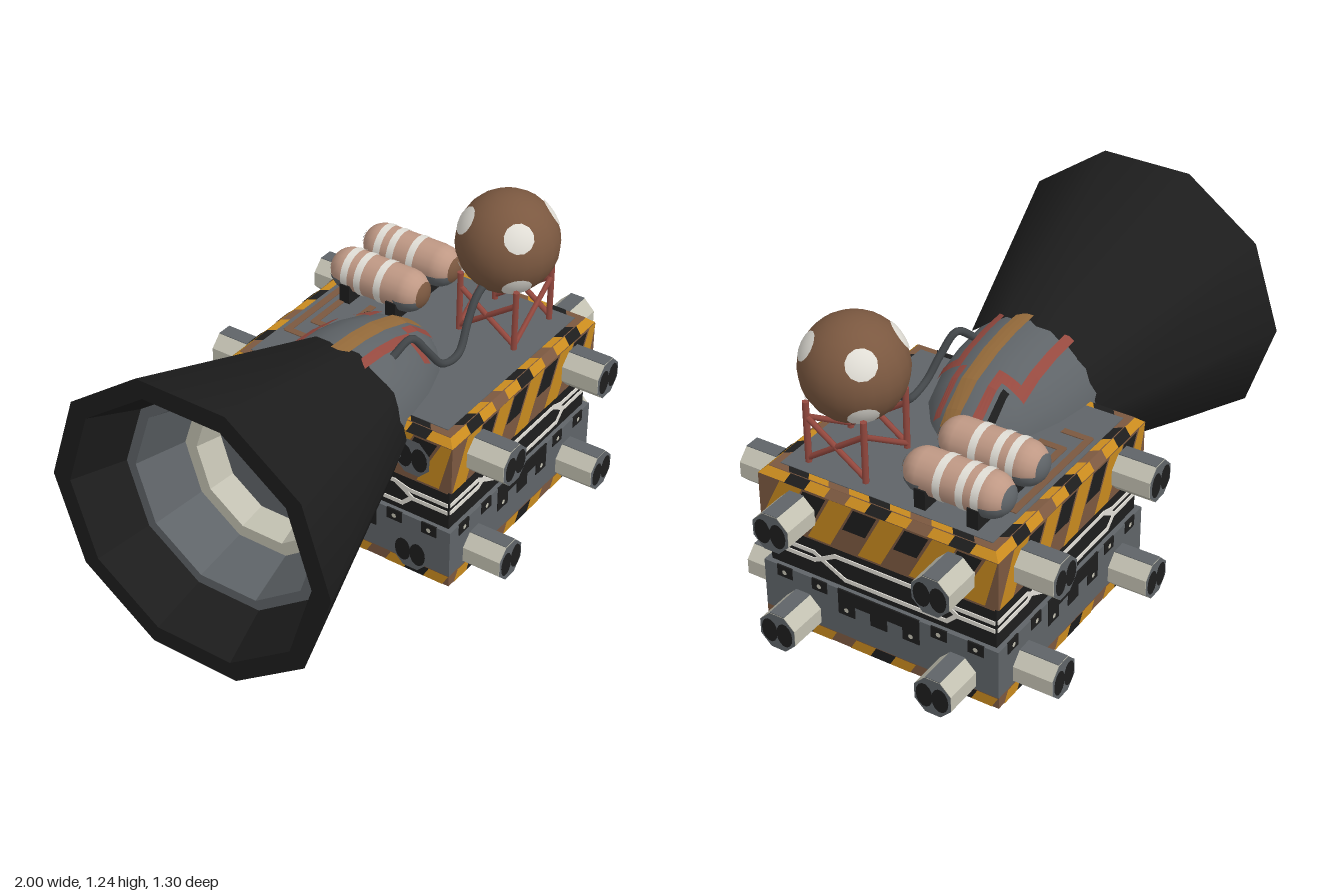
import * as THREE from 'three';

const paint = (name, color) => { const m = new THREE.MeshStandardMaterial({ color }); m.name = name; return m; };
const black = paint('black', 0x1d1d1d), slate = paint('slate', 0x5f6468), orange = paint('orange', 0xc88a1e);
const brown = paint('brown', 0x7b5840), cream = paint('cream', 0xc2c0b1), white = paint('white', 0xe2dfd7);
const tan = paint('tan', 0xc09985), red = paint('red', 0x95493f), ochre = paint('ochre', 0x946a3a), steel = paint('steel', 0x43474a);

const V = (x, y, z) => new THREE.Vector3(x, y, z);

function add(parent, name, geo, mat, x = 0, y = 0, z = 0) {
  const m = new THREE.Mesh(geo, mat);
  m.name = name;
  m.position.set(x, y, z);
  parent.add(m);
  return m;
}

function faceted(geo) {
  const g = geo.index ? geo.toNonIndexed() : geo;
  g.computeVertexNormals();
  return g;
}

// Square frustum between two heights, given half widths
function layer(parent, name, mat, y0, y1, h0, h1) {
  const g = new THREE.CylinderGeometry(h1 * Math.SQRT2, h0 * Math.SQRT2, y1 - y0, 4, 1, false, Math.PI / 4);
  add(parent, name, faceted(g), mat, 0, (y0 + y1) / 2, 0);
}

// Flat convex panel, corners counter-clockwise from outside
function panel(parent, name, mat, pts) {
  const g = new THREE.BufferGeometry(), tri = [];
  for (let i = 1; i < pts.length - 1; i++) tri.push(pts[0], pts[i], pts[i + 1]);
  g.setFromPoints(tri);
  g.computeVertexNormals();
  add(parent, name, g, mat);
}

// Slanted stripe between (y0, z0) and (y1, z1)
function stripe(parent, mat, u, w, slant, y0, z0, y1, z1) {
  const c = (x) => Math.max(-0.488, Math.min(0.488, x));
  panel(parent, 'hazardStripe', mat, [V(c(u), y0, z0), V(c(u + w), y0, z0), V(c(u + w + slant), y1, z1), V(c(u + slant), y1, z1)]);
}

// Painted line of constant width on a face
function line(parent, name, mat, pts, w, z) {
  for (let i = 0; i < pts.length - 1; i++) {
    const [a, b] = [pts[i], pts[i + 1]];
    const dx = b[0] - a[0], dy = b[1] - a[1], l = Math.hypot(dx, dy);
    const m = add(parent, name, new THREE.BoxGeometry(l + w * 0.6, w, 0.006), mat, (a[0] + b[0]) / 2, (a[1] + b[1]) / 2, z);
    m.rotation.z = Math.atan2(dy, dx);
  }
}

function rod(parent, name, mat, a, b, r) {
  const d = b.clone().sub(a);
  const m = add(parent, name, new THREE.CylinderGeometry(r, r, d.length(), 6), mat);
  m.position.copy(a).add(b).multiplyScalar(0.5);
  m.quaternion.setFromUnitVectors(V(0, 1, 0), d.normalize());
}

// Lathe turned so its axis runs along x; profile is [radius, x] with x falling
function latheX(profile, seg) {
  return new THREE.LatheGeometry(profile.map(([r, x]) => new THREE.Vector2(r, -x)), seg).rotateZ(Math.PI / 2);
}

function thruster(face, u, y, protrudes) {
  const end = protrudes ? 0.645 : 0.494;
  const g = new THREE.Group();
  g.name = 'thruster';
  g.position.set(u, y, 0);
  face.add(g);
  if (protrudes) {
    const body = new THREE.CylinderGeometry(0.08, 0.08, 0.19, 8, 1, false, Math.PI / 8).rotateX(Math.PI / 2);
    add(g, 'thrusterBody', faceted(body), cream, 0, 0, end - 0.095);
    add(g, 'thrusterTopPlate', new THREE.BoxGeometry(0.06, 0.004, 0.155), slate, 0, 0.0745, end - 0.078);
  }
  add(g, 'thrusterFace', new THREE.CircleGeometry(0.08, 8, Math.PI / 8), slate, 0, 0, end + 0.002);
  for (const s of [-1, 1]) {
    const port = new THREE.CircleGeometry(0.05, 14).scale(0.68, 1, 1);
    add(g, 'thrusterPort', port, black, s * 0.032, 0, end + 0.005);
  }
}

function buildHull(root) {
  const hull = new THREE.Group();
  hull.name = 'hull';
  hull.position.x = 0.35;
  root.add(hull);
  layer(hull, 'underside', slate, 0, 0.004, 0.452, 0.456);
  layer(hull, 'baseBevel', orange, 0.004, 0.035, 0.456, 0.49);
  layer(hull, 'baseTrim', brown, 0.035, 0.08, 0.49, 0.49);
  layer(hull, 'baseBlock', slate, 0.08, 0.28, 0.49, 0.49);
  layer(hull, 'middleBlock', black, 0.28, 0.46, 0.47, 0.47);
  layer(hull, 'upperBlock', brown, 0.46, 0.655, 0.49, 0.49);
  layer(hull, 'upperBevel', orange, 0.655, 0.679, 0.49, 0.463);
  layer(hull, 'deckFrame', brown, 0.679, 0.681, 0.463, 0.462);
  layer(hull, 'deck', slate, 0.681, 0.684, 0.433, 0.433);

  for (let k = 0; k < 4; k++) {
    const face = new THREE.Group();
    face.name = 'hullSide';
    face.rotation.y = k * Math.PI / 2;
    hull.add(face);
    // Broad hazard stripes on the upper block
    for (let i = 0; i < 5; i++) stripe(face, orange, -0.496 + i * 0.21, 0.095, 0.1, 0.463, 0.493, 0.655, 0.493);
    for (let i = 0; i < 4; i++) stripe(face, black, -0.347 + i * 0.21, 0.095, 0.05, 0.55, 0.493, 0.648, 0.493);
    // Narrow stripes on the rims
    const cycle = [orange, black, orange, brown];
    for (let i = 0; i < 11; i++) {
      const u = -0.46 + i * 0.084, mat = cycle[i % 4], inner = Math.abs(u + 0.04) < 0.42;
      if (mat !== orange) {
        stripe(face, mat, u, 0.084, 0.01, 0.656, 0.493, 0.682, 0.465);
        if (inner) stripe(face, mat, u, 0.084, 0.01, 0.003, 0.458, 0.036, 0.493);
      }
      if (mat !== brown) {
        if (inner) stripe(face, mat, u, 0.084, -0.02, 0.683, 0.462, 0.683, 0.434);
        stripe(face, mat, u, 0.084, 0.025, 0.036, 0.493, 0.08, 0.493);
      }
    }
    // Dark toothed edge
    const tooth = (u, w, y0) => add(face, 'tooth', new THREE.BoxGeometry(w, 0.282 - y0, 0.006), black, u, (0.282 + y0) / 2, 0.49);
    const bolt = (u, y) => add(face, 'bolt', new THREE.CircleGeometry(0.01, 8), cream, u, y, 0.495);
    tooth(0, 0.34, 0.225);
    for (const u of [-0.135, 0, 0.135]) tooth(u, 0.07, 0.175);
    for (const u of [-0.135, 0.135]) bolt(u, 0.2);
    for (const u of [-0.4, -0.25, 0.25, 0.4]) {
      tooth(u, 0.065, 0.235);
      bolt(u, 0.257);
    }
    // Bright trim on the middle band
    const trim = (pts) => line(face, 'trimLine', white, pts, 0.016, 0.471);
    trim([[-0.46, 0.383], [-0.28, 0.383], [-0.25, 0.365]]);
    trim([[-0.46, 0.35], [-0.28, 0.35], [-0.25, 0.365]]);
    trim([[0.46, 0.383], [0.3, 0.383], [0.24, 0.4], [-0.19, 0.4], [-0.25, 0.365]]);
    trim([[0.46, 0.35], [0.31, 0.35], [0.27, 0.312], [-0.15, 0.312], [-0.25, 0.365]]);
    trim([[0.24, 0.4], [0.31, 0.355]]);
    line(face, 'brownLine', brown, [[-0.46, 0.443], [0.46, 0.443]], 0.012, 0.471);
    for (const u of [-0.325, 0.325]) for (const y of [0.125, 0.555]) thruster(face, u, y, k !== 3);
  }
}

function buildEngine(root) {
  // Ten-sided bell with a stepped inside
  const bell = new THREE.Group();
  bell.name = 'engineBell';
  bell.position.y = 0.62;
  root.add(bell);
  add(bell, 'bellShell', latheX([[0.3, -0.14], [0.59, -1]], 10), black);
  add(bell, 'bellRim', faceted(latheX([[0.59, -1], [0.515, -1], [0.43, -0.8]], 10)), black);
  add(bell, 'bellLiner', faceted(latheX([[0.43, -0.8], [0.39, -0.8], [0.33, -0.6]], 10)), slate);
  add(bell, 'bellThroat', faceted(latheX([[0.33, -0.6], [0.28, -0.6], [0.25, -0.5]], 10)), cream);
  add(bell, 'bellBack', faceted(latheX([[0.25, -0.5], [0.001, -0.5]], 10)), slate);

  // Rounded engine housing
  const prof = [[0.001, 0.36], [0.1, 0.35], [0.15, 0.3], [0.22, 0.2], [0.265, 0.06], [0.285, -0.06], [0.292, -0.18]];
  add(bell, 'engineHousing', latheX(prof, 24), slate);
  const radius = (x) => {
    const i = Math.max(1, prof.findIndex((p) => p[1] <= x));
    const [r0, x0] = prof[i - 1], [r1, x1] = prof[i];
    return r0 + (r1 - r0) * (x0 - x) / (x0 - x1);
  };
  // Painted strip draped over the housing, given its outline from above
  const drape = (mat, x0, x1, z0, z1) => {
    const at = (x, z) => V(x, Math.sqrt((radius(x) + 0.008) ** 2 - z * z), z);
    const xs = [x0, ...prof.map((p) => p[1]).filter((x) => x > x0 && x < x1).reverse(), x1];
    for (let i = 0; i < xs.length - 1; i++) for (let j = 0; j < 3; j++) {
      const za = z0 + (z1 - z0) * j / 3, zb = z0 + (z1 - z0) * (j + 1) / 3, [a, b] = [xs[i], xs[i + 1]];
      panel(bell, 'housingStrip', mat, [at(a, zb), at(b, zb), at(b, za), at(a, za)]);
    }
  };
  drape(ochre, -0.18, 0.345, 0, 0.065);
  drape(red, -0.18, 0.165, -0.17, -0.135);
  drape(red, 0.125, 0.165, -0.135, -0.08);
  drape(red, 0.125, 0.33, -0.08, -0.045);
  drape(black, 0.18, 0.29, -0.12, -0.095);
  drape(red, -0.18, 0.14, 0.11, 0.145);
  drape(red, 0.1, 0.14, 0.145, 0.21);
  drape(red, 0.14, 0.32, 0.08, 0.11);
}

function buildSphereTank(root) {
  const tank = new THREE.Group();
  tank.name = 'sphereTank';
  tank.position.set(0.6, 1.045, 0.235);
  root.add(tank);
  add(tank, 'sphereShell', new THREE.SphereGeometry(0.195, 20, 14), brown);
  for (const x of [-1, 1]) for (const y of [-0.9, 0.9]) for (const z of [-1, 1]) {
    const spot = add(tank, 'sphereSpot', new THREE.SphereGeometry(0.198, 12, 3, 0, Math.PI * 2, 0, 0.29), white);
    spot.quaternion.setFromUnitVectors(V(0, 1, 0), V(x, y, z).normalize());
  }
  // Braced stand
  const c = [V(0.475, 0.68, 0.355), V(0.725, 0.68, 0.355), V(0.725, 0.68, 0.115), V(0.475, 0.68, 0.115)];
  const up = (p, y) => V(p.x, y, p.z);
  c.forEach((p, i) => {
    const q = c[(i + 1) % 4];
    rod(root, 'standLeg', red, p, up(p, 0.93), 0.013);
    if (i !== 2) rod(root, 'standBrace', red, up(p, 0.7), up(q, 0.87), 0.011);
    if (i !== 0) rod(root, 'standBrace', red, up(q, 0.7), up(p, 0.87), 0.011);
  });
}

function buildCapsules(root) {
  for (const x of [0.455, 0.67]) {
    const tank = new THREE.Group();
    tank.name = 'capsuleTank';
    tank.position.set(x, 0.785, -0.23);
    root.add(tank);
    add(tank, 'capsuleShell', new THREE.CapsuleGeometry(0.083, 0.255, 6, 18).rotateX(Math.PI / 2), tan);
    for (const z of [0.04, -0.05, -0.11])
      add(tank, 'capsuleBand', new THREE.CylinderGeometry(0.0855, 0.0855, 0.03, 18, 1, true).rotateX(Math.PI / 2), white, 0, 0, z);
    for (const s of [-1, 1]) {
      add(tank, 'capsuleEndPatch', new THREE.SphereGeometry(0.0855, 16, 6, 0, Math.PI * 2, 1.7, Math.PI - 1.7), slate, 0, 0, s * 0.128);
      const tip = new THREE.SphereGeometry(0.086, 14, 4, 0, Math.PI * 2, 0, 0.65).rotateX(s * Math.PI / 2);
      add(tank, 'capsuleTip', tip, s > 0 ? brown : slate, 0, 0, s * 0.128);
      add(tank, 'capsuleCradle', new THREE.BoxGeometry(0.17, 0.08, 0.045), black, 0, -0.065, s * 0.105);
    }
  }
}

export function createModel() {
  const root = new THREE.Group();
  root.name = 'engineModule';
  buildHull(root);
  buildEngine(root);
  buildSphereTank(root);
  buildCapsules(root);

  // Feed pipe from the sphere to the housing
  const path = new THREE.CatmullRomCurve3([V(-0.03, 0.855, 0.16), V(0.04, 0.905, 0.19), V(0.1, 0.83, 0.22), V(0.17, 0.745, 0.24),
    V(0.28, 0.73, 0.24), V(0.36, 0.82, 0.225), V(0.42, 0.89, 0.22), V(0.5, 0.93, 0.22)]);
  add(root, 'feedPipe', new THREE.TubeGeometry(path, 40, 0.015, 8), steel);

  // Painted conduits on the deck
  const deck = new THREE.Group();
  deck.name = 'deckConduits';
  deck.rotation.x = -Math.PI / 2;
  deck.position.y = 0.684;
  root.add(deck);
  line(deck, 'conduit', brown, [[0.1, 0.3], [0.1, 0.4], [0.6, 0.4]], 0.028, 0);
  line(deck, 'conduit', brown, [[0.2, 0.26], [0.2, 0.35], [0.4, 0.35]], 0.028, 0);
  line(deck, 'conduit', brown, [[0.28, 0.14], [0.28, 0.23], [0.4, 0.23]], 0.028, 0);
  return root;
}
